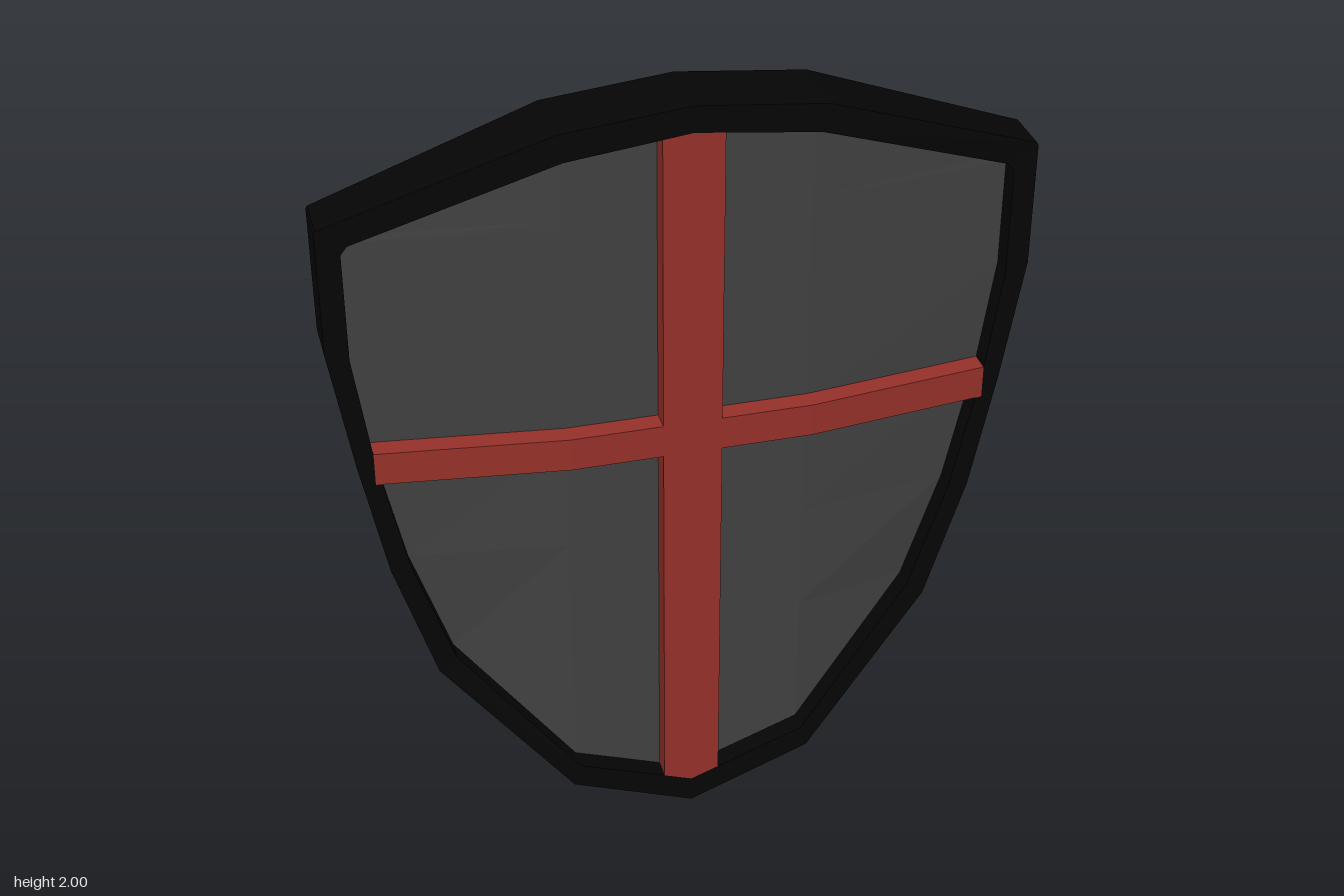
import * as THREE from 'three';

const mat = (name, color) => {
  const m = new THREE.MeshStandardMaterial({ color });
  m.name = name;
  return m;
};

// Half outlines, bottom to top, on the +x side
const OUTER = [[0, 0], [0.31, 0.12], [0.63, 0.515], [0.73, 0.84], [0.79, 1.15], [0.84, 1.46],
  [0.84, 1.77], [0.836, 1.777], [0.31, 1.968], [0, 2]];
const INNER = [[0, 0.07], [0.295, 0.18], [0.585, 0.55], [0.68, 0.84], [0.745, 1.15], [0.785, 1.44],
  [0.785, 1.71], [0.77, 1.73], [0.295, 1.9], [0, 1.935]];
const BACK = -0.01, BEND = 0.295;
const PANEL_FRONT = -0.052, PANEL_BACK = -0.122;

// Front depth of an outline point: deep in the middle, shallow at the sides
const frontZ = (x) => (Math.abs(x) < 0.4 ? 0.17 : 0.113);

const mirror = (half) => [...half, ...half.slice(1, -1).reverse().map(([x, y]) => [-x, y])];
const shapeOf = (pts) => new THREE.Shape(pts.map(([x, y]) => new THREE.Vector2(x, y)));
const close = (list) => [...list, list[0]];

// Flat-shaded skin over rows of points
function skin(rows) {
  const pos = [];
  for (let k = 0; k < rows.length - 1; k++) {
    const a = rows[k], b = rows[k + 1];
    for (let i = 0; i < a.length - 1; i++) {
      pos.push(...a[i], ...a[i + 1], ...b[i + 1], ...a[i], ...b[i + 1], ...b[i]);
    }
  }
  const g = new THREE.BufferGeometry();
  g.setAttribute('position', new THREE.Float32BufferAttribute(pos, 3));
  g.computeVertexNormals();
  return g;
}

// Four-cornered rim section carried round the outline
function rimGeometry() {
  const outer = close(mirror(OUTER)), inner = close(mirror(INNER));
  const front = ([x, y]) => [x, y, frontZ(x)];
  const back = ([x, y]) => [x, y, BACK];
  return skin(close([outer.map(front), inner.map(front), inner.map(back), outer.map(back)]));
}

// Rows across the panel, with a flat centre and two sloping sides
const panelRows = (offset) => INNER.map(([edge, y]) => {
  const bend = Math.min(edge, BEND);
  return [-edge, -bend, bend, edge].map((x) => [x, y, frontZ(x) + offset]);
});

export function createModel() {
  const black = mat('rim black', 0x050505);
  const grey = mat('panel grey', 0x414141);
  const red = mat('cross red', 0x97312a);
  const steel = mat('handle steel', 0xc9dee9);
  const group = new THREE.Group();
  group.name = 'shield';
  const add = (name, geometry, material) => {
    const m = new THREE.Mesh(geometry, material);
    m.name = name;
    group.add(m);
    return m;
  };

  add('rim', rimGeometry(), black);
  add('frontPanel', skin(panelRows(PANEL_FRONT)), grey);
  add('backPanel', skin(panelRows(PANEL_BACK).reverse()), grey);

  // Upright bar of the cross
  const upright = mirror([[0, 0.07], [0.072, 0.096], [0.072, 1.927], [0, 1.935]]);
  add('uprightBar', new THREE.ExtrudeGeometry(shapeOf(upright), { depth: 0.07, bevelEnabled: false }), red)
    .position.z = 0.1;

  // Crossbar, bent with the front; profile in x and z, extruded downward
  const xs = [-0.749, -BEND, BEND, 0.749];
  const profile = [...xs.map((x) => [x, frontZ(x) - 0.07]),
    ...xs.slice().reverse().map((x) => [x, frontZ(x)])];
  const bar = new THREE.ExtrudeGeometry(shapeOf(profile), { depth: 0.085, bevelEnabled: false });
  bar.rotateX(Math.PI / 2);
  add('crossBar', bar, red).position.y = 1.18;

  // Two angular grips footed in the hollow back; profile in z and y, extruded along x
  const grip = [[0.05, 1.392], [0, 1.39], [-0.115, 1.305], [-0.172, 1.103], [-0.115, 0.902],
    [0, 0.814], [0.05, 0.812], [0.05, 0.852], [0, 0.856], [-0.068, 0.905], [-0.122, 1.103],
    [-0.068, 1.302], [0, 1.348], [0.05, 1.352]];
  for (const [name, x] of [['leftHandle', 0.211], ['rightHandle', -0.218]]) {
    const g = new THREE.ExtrudeGeometry(shapeOf(grip.map(([z, y]) => [-z, y])),
      { depth: 0.142, bevelEnabled: false });
    g.translate(0, 0, -0.071);
    g.rotateY(Math.PI / 2);
    add(name, g, steel).position.x = x;
  }
  return group;
}
